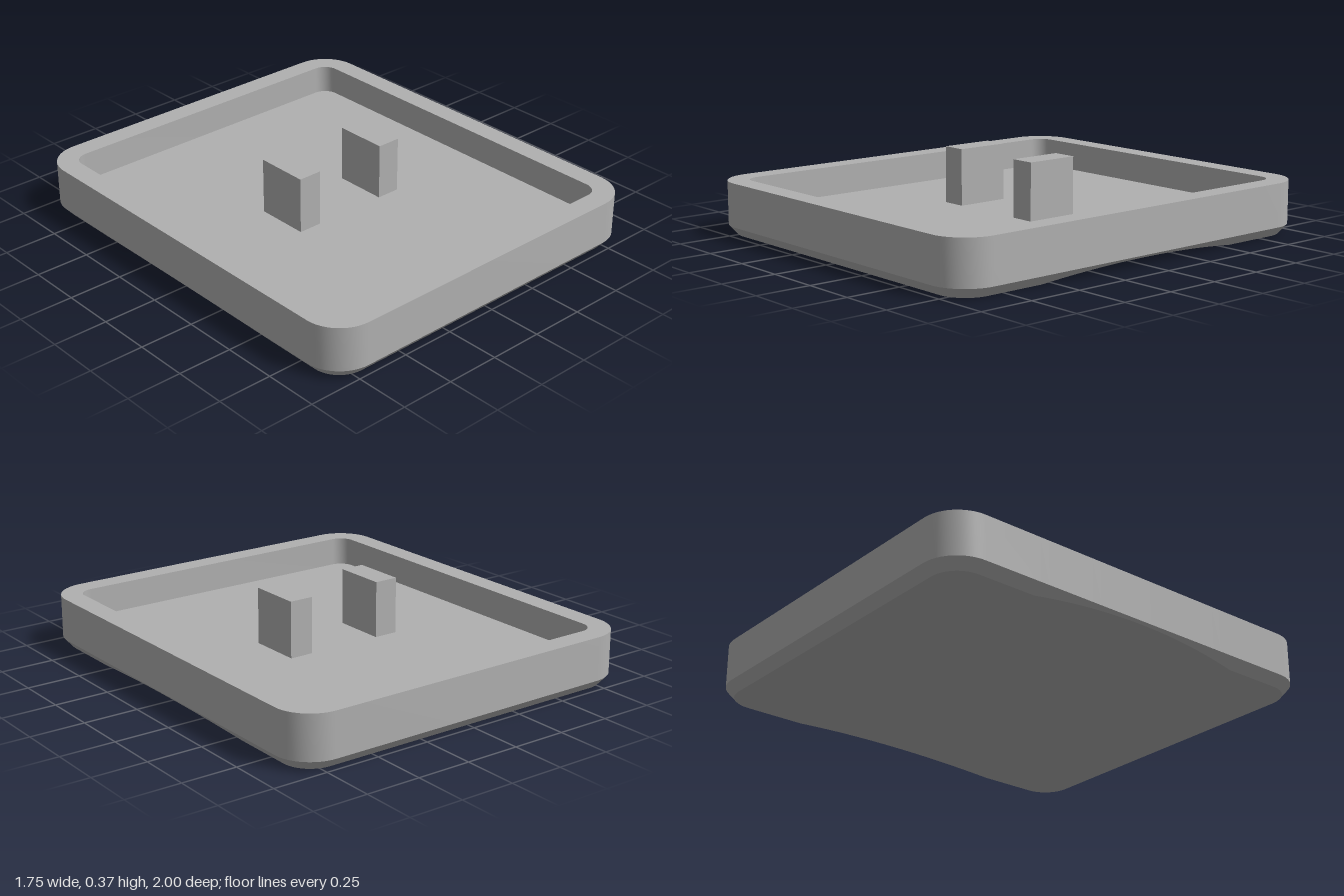
import * as THREE from 'three';
import { toCreasedNormals } from 'three/addons/utils/BufferGeometryUtils.js';

const CX = 0.705, CZ = 0.83, R = 0.17;          // corner centres and radius
const WAIST = 0.045, RIM = 0.245, FLOOR = 0.11; // heights
const WALL = 0.1, CHAMFER = 0.04;
const SCOOP_HALF = 0.55, SCOOP_RISE = 0.034;
const ARC = 12, STRIPS = 24;

// Height of the shallow cylindrical scoop under the base
function scoop(z) {
  if (Math.abs(z) >= SCOOP_HALF) return 0;
  const r = (SCOOP_HALF ** 2 + SCOOP_RISE ** 2) / (2 * SCOOP_RISE);
  return Math.sqrt(r * r - z * z) - (r - SCOOP_RISE);
}

// Rounded-rectangle loop; inset and height are functions of z
function ring(inset, height) {
  const half = [];
  const corner = (sign) => {
    for (let i = 0; i <= ARC; i++) {
      const t = (i / ARC) * Math.PI / 2;
      const a = sign < 0 ? t - Math.PI / 2 : t;
      const r = R - inset(CZ);
      half.push([CX + r * Math.cos(a), height(CZ), sign * CZ + r * Math.sin(a)]);
    }
  };
  corner(-1);
  for (let i = 0; i <= STRIPS; i++) {
    const z = SCOOP_HALF * (2 * i / STRIPS - 1);
    half.push([CX + R - inset(z), height(z), z]);
  }
  corner(1);
  const mirrored = half.map(([x, y, z]) => [-x, y, z]).reverse();
  return [...half, ...mirrored];
}

function trayGeometry() {
  const level = (d, y) => ring(() => d, () => y);
  const rings = [
    ring((z) => CHAMFER * (1 - scoop(z) / WAIST), scoop),
    level(0, WAIST), level(0, RIM), level(WALL, RIM), level(WALL, FLOOR),
  ];
  const n = rings[0].length;
  const positions = [];
  const quad = (a, b, c, d) => positions.push(...a, ...b, ...c, ...a, ...c, ...d);

  // Chamfer, outer wall, rim and inner wall
  for (let k = 0; k < rings.length - 1; k++) {
    const lo = rings[k], hi = rings[k + 1];
    for (let i = 0; i < n; i++) {
      const j = (i + 1) % n;
      quad(lo[i], hi[i], hi[j], lo[j]);
    }
  }
  // Recessed floor and scooped underside, in strips across x
  const base = rings[0], floor = rings[4];
  for (let i = 0; i < n / 2 - 1; i++) {
    const l = n - 1 - i;
    quad(floor[l], floor[l - 1], floor[i + 1], floor[i]);
    quad(base[i], base[i + 1], base[l - 1], base[l]);
  }
  const g = new THREE.BufferGeometry();
  g.setAttribute('position', new THREE.Float32BufferAttribute(positions, 3));
  return toCreasedNormals(g, 0.5);
}

export function createModel() {
  const group = new THREE.Group();
  group.name = 'trayWithProngs';
  const grey = new THREE.MeshStandardMaterial({ color: 0xb0b0b0 });
  grey.name = 'grey';

  const tray = new THREE.Mesh(trayGeometry(), grey);
  tray.name = 'tray';
  group.add(tray);

  // Two mounting prongs standing on the floor
  const top = 0.37;
  for (const [name, side] of [['leftProng', 1], ['rightProng', -1]]) {
    const prong = new THREE.Mesh(new THREE.BoxGeometry(0.113, top - FLOOR, 0.25), grey);
    prong.position.set(side * 0.235, (top + FLOOR) / 2, 0);
    prong.name = name;
    group.add(prong);
  }
  return group;
}
